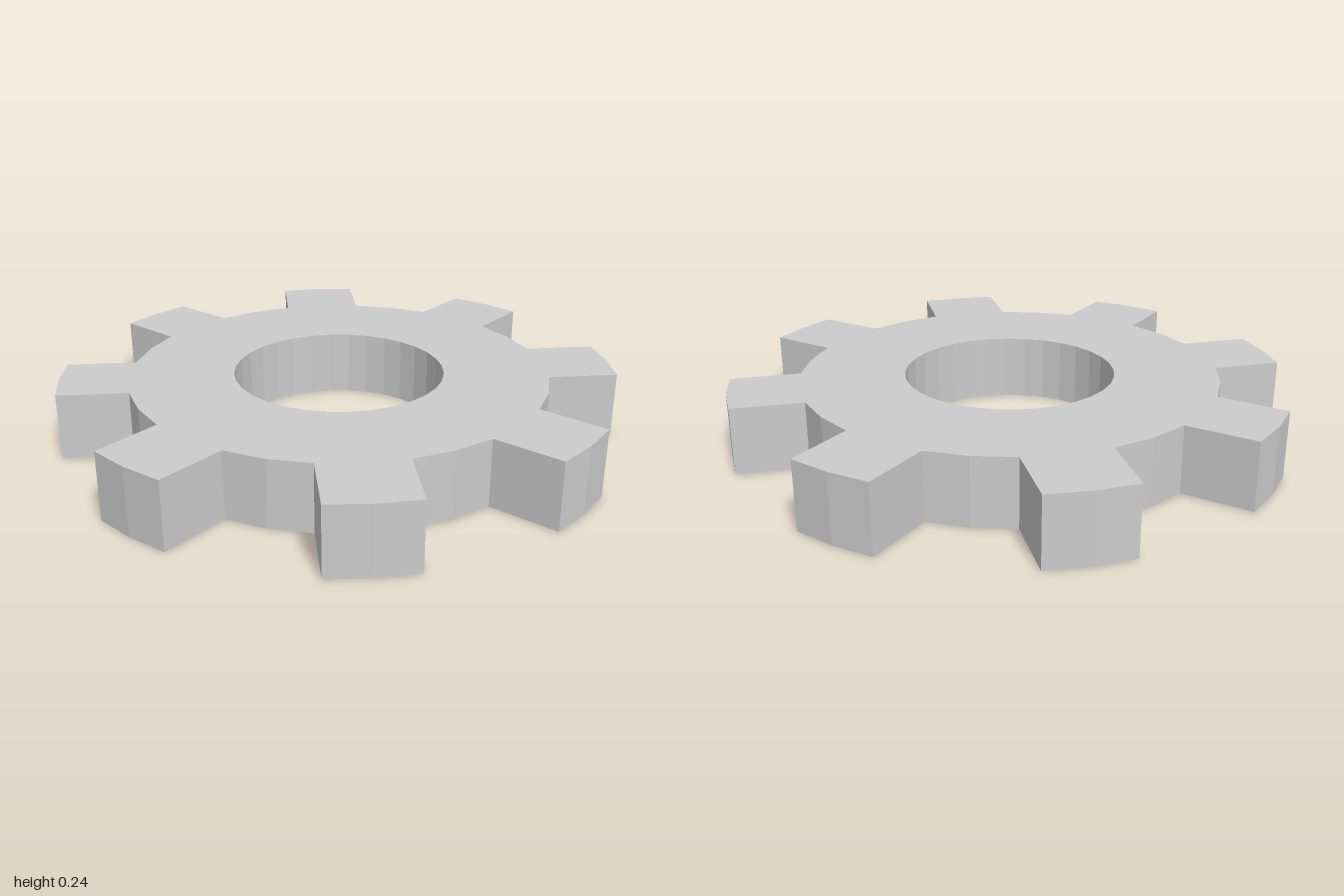
import * as THREE from 'three';

const TEETH = 8, ROOT = 0.755, TIP = 1.001, BORE = 0.38, HEIGHT = 0.24;

const polar = (radius, degrees) => {
  const a = THREE.MathUtils.degToRad(degrees);
  return new THREE.Vector2(radius * Math.cos(a), radius * Math.sin(a));
};

export function createModel() {
  const model = new THREE.Group();
  model.name = 'gear';

  // One pitch: a faceted valley followed by a slightly tapered tooth
  const pitch = [
    [ROOT, 0], [ROOT, 11.25], [ROOT, 22.5],
    [TIP, 25.35], [TIP, 33.75], [TIP, 42.15],
  ];
  const outline = [];
  for (let i = 0; i < TEETH; i++) {
    for (const [r, deg] of pitch) outline.push(polar(r, deg + i * 360 / TEETH));
  }
  const shape = new THREE.Shape(outline);

  // Central bore
  const bore = [];
  for (let i = 0; i < 32; i++) bore.push(polar(BORE, -i * 360 / 32));
  shape.holes.push(new THREE.Path(bore));

  // Lay the extrusion flat on the ground
  const geometry = new THREE.ExtrudeGeometry(shape, { depth: HEIGHT, bevelEnabled: false });
  geometry.rotateX(Math.PI / 2).translate(0, HEIGHT, 0);

  const body = new THREE.Mesh(
    geometry,
    new THREE.MeshStandardMaterial({ color: 0xcccccc, flatShading: true }),
  );
  body.name = 'toothedRing';
  model.add(body);
  return model;
}
